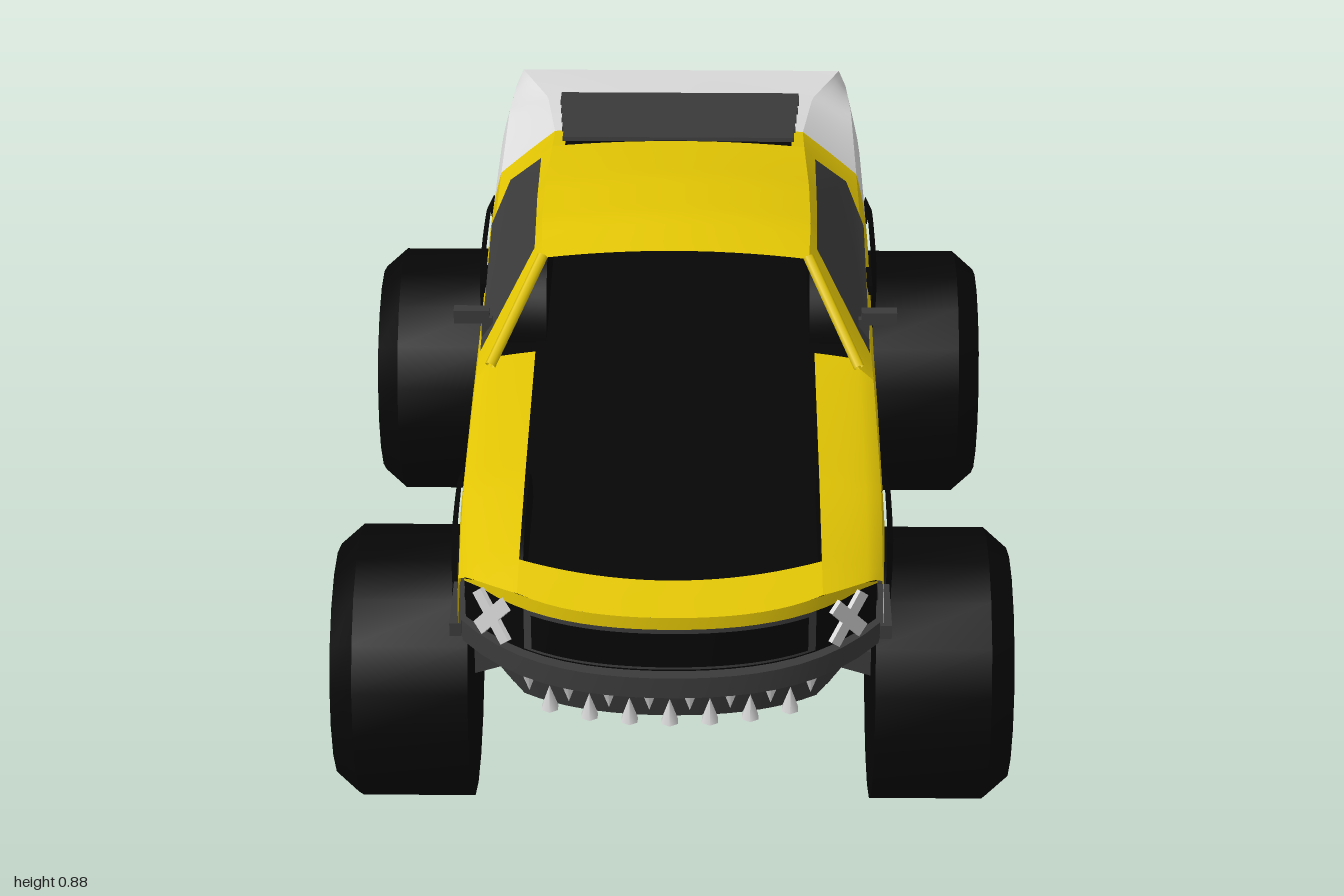
import * as THREE from 'three';
import { toCreasedNormals } from 'three/addons/utils/BufferGeometryUtils.js';

const mat = (name, color) => {
  const m = new THREE.MeshStandardMaterial({ color, side: THREE.DoubleSide });
  m.name = name;
  return m;
};
const lerp = (a, b, t) => a + (b - a) * t;

// piecewise-linear lookup: rows of [z, a, b, ...] with z rising
const table = (rows) => (z) => {
  let i = 0;
  while (i < rows.length - 2 && z > rows[i + 1][0]) i++;
  const [p, q] = [rows[i], rows[i + 1]];
  const t = Math.min(1, Math.max(0, (z - p[0]) / (q[0] - p[0])));
  return p.slice(1).map((a, k) => lerp(a, q[k + 1], t));
};

export function createModel() {
  const car = new THREE.Group();
  const yellow = mat('yellow paint', 0xe2c504), white = mat('white paint', 0xdededf);
  const black = mat('black', 0x060606), grey = mat('dark grey', 0x3b3b3b);
  const silver = mat('silver', 0xd4d4d4), red = mat('red lamp', 0xcc1414);

  const add = (name, geo, m, x = 0, y = 0, z = 0, parent = car) => {
    const mesh = new THREE.Mesh(geo, m);
    mesh.name = name;
    mesh.position.set(x, y, z);
    parent.add(mesh);
    return mesh;
  };
  const box = (name, m, w, h, d, x, y, z) => add(name, new THREE.BoxGeometry(w, h, d), m, x, y, z);
  // curved sheet: fn(u, v) gives a point
  const patch = (name, m, nu, nv, fn) => {
    const g = new THREE.PlaneGeometry(1, 1, nu, nv);
    const { position, uv } = g.attributes;
    for (let i = 0; i < position.count; i++) position.setXYZ(i, ...fn(uv.getX(i), uv.getY(i)));
    g.computeVertexNormals();
    return add(name, g, m);
  };
  // sheet repeated on both flanks
  const pair = (name, m, nu, nv, fn) => {
    for (const s of [1, -1]) patch(name, m, nu, nv, (u, v) => {
      const [x, y, z] = fn(u, v);
      return [s * x, y, z];
    });
  };

  // body lines
  const shoulder = table([[-1, .345, .70], [-.95, .348, .70], [-.75, .362, .735], [-.4, .365, .735], [0, .362, .71],
    [.25, .362, .685], [.6, .36, .665], [.84, .35, .628], [.92, .34, .62]]);
  // cabin edge x, edge y, centre y
  const cabin = table([[-.95, .33, .735, .735], [-.75, .27, .768, .775], [-.5, .245, .815, .828], [-.38, .245, .842, .854],
    [-.18, .25, .86, .88], [-.02, .25, .863, .884], [.09, .245, .848, .864], [.25, .335, .71, .71]]);
  const hoodEdge = table([[.2, .713], [.6, .70], [.84, .677], [.92, .663], [1, .65]]);
  const nose = (x) => .99 - .7 * x ** 2 - 5 * x ** 4;

  // wheel arches
  const N = 2.3, arches = [[.505, .577], [-.508, .605]], archR = .217;
  const sill = (z) => (z > .62 ? .52 : z < -.65 ? .5 : .43);
  const bottom = (z) => arches.reduce((y, [zc, top]) => {
    const d = Math.abs(z - zc) / archR;
    return d < 1 ? Math.max(y, .43 + (top - .43) * (1 - d ** N) ** (1 / N)) : y;
  }, sill(z));
  const sideX = (z, y) => shoulder(z)[0] + .012 - .9 * (y - .57) ** 2;

  const lower = (z, v) => {
    const y = lerp(bottom(z), shoulder(z)[1], v);
    return [sideX(z, y), y, z];
  };
  const upper = (z, v) => {
    const ys = shoulder(z)[1], [ex, ey] = cabin(z);
    return [lerp(sideX(z, ys), ex, v), lerp(ys, ey, v), z];
  };
  const roof = (z, s) => {
    const [ex, ey, cy] = cabin(z);
    return [s * ex, lerp(cy, ey, s * s), z];
  };
  const fender = (z, v) => {
    const ys = shoulder(z)[1];
    return [lerp(sideX(z, ys), .255, v), lerp(ys, hoodEdge(z)[0], v ** .6), z];
  };
  const tailEdge = (v) => (v < .25 ? -.955 - .14 * v : -.99 + .04 * (v - .25) / .75);
  const tailFace = (v) => -.96 + .015 * v;
  const seam = (v) => -.44 - .035 * v;

  // flanks, quarter panels and fenders
  pair('rearFlank', white, 40, 8, (u, v) => lower(lerp(tailEdge(v), seam(v), u), v));
  pair('doorAndFrontFlank', yellow, 110, 8, (u, v) => lower(lerp(seam(v), .84, u), v));
  pair('rearPillar', white, 16, 4, (u, v) => upper(lerp(-.95, -.475 - .025 * v, u), v));
  pair('cabinSide', yellow, 36, 4, (u, v) => upper(lerp(-.475 - .025 * v, .25, u), v));
  pair('frontFender', yellow, 24, 8, (u, v) => fender(lerp(.2, nose(lerp(.35, .255, v)), u), v));

  // roof, rear glass frame and deck
  patch('roof', yellow, 18, 14, (u, v) => roof(lerp(-.38, .09, u), 2 * v - 1));
  pair('rearGlassFrameFront', yellow, 4, 2, (u, v) => roof(lerp(-.5, -.38, u), lerp(.9, 1, v)));
  pair('rearGlassFrameBack', white, 6, 2, (u, v) => roof(lerp(-.735, -.5, u), lerp(.9, 1, v)));
  patch('rearGlass', black, 12, 8, (u, v) => roof(lerp(-.735, -.38, u), (2 * v - 1) * .9));
  patch('rearDeck', white, 8, 10, (u, v) => roof(lerp(-.95, -.735, u), 2 * v - 1));
  for (let i = 0; i < 5; i++) {
    const z = -.415 - i * .071;
    box('louver', grey, .45 + i * .008, .008, .064, 0, cabin(z)[2] + .004, z).rotation.x = -.17;
  }

  // windshield pillars
  for (const s of [1, -1]) {
    const path = new THREE.LineCurve3(new THREE.Vector3(s * .244, .85, .085), new THREE.Vector3(s * .335, .712, .25));
    add('windshieldPillar', new THREE.TubeGeometry(path, 1, .01, 6), yellow);
  }

  // side windows, outside and inside faces
  const outline = [[.185, .704], [.045, .845], [-.15, .851], [-.35, .831], [-.385, .765], [-.27, .728]];
  for (const s of [1, -1]) for (const off of [.007, -.007]) {
    const g = new THREE.ShapeGeometry(new THREE.Shape(outline.map((p) => new THREE.Vector2(...p))));
    const p = g.attributes.position;
    for (let i = 0; i < p.count; i++) {
      const z = p.getX(i), y = p.getY(i), ys = shoulder(z)[1];
      const x = upper(z, (y - ys) / (cabin(z)[1] - ys))[0];
      p.setXYZ(i, s * (x + off), y, z);
    }
    g.computeVertexNormals();
    add('sideWindow', g, grey);
  }

  // wheel wells and arch flares
  for (const [zc, top] of arches) {
    const at = (u, k) => {
      const a = Math.PI * u, c = Math.cos(a);
      const z = zc + k * archR * Math.sign(c) * Math.abs(c) ** (2 / N);
      return [z, Math.max(sill(z), .43 + (top - .43) * k * Math.abs(Math.sin(a)) ** (2 / N))];
    };
    pair('wheelWell', black, 32, 1, (u, v) => {
      const [z, y] = at(u, 1);
      return [lerp(.26, sideX(z, y), v), y, z];
    });
    pair('wheelWellWall', black, 32, 1, (u, v) => {
      const [z, y] = at(u, 1);
      return [.26, lerp(.43, y, v), z];
    });
    pair('archFlare', black, 32, 2, (u, v) => {
      const [z, y] = at(u, lerp(.97, 1.1, v));
      return [sideX(z, y) + .016 - .011 * v, y, z];
    });
  }

  // floor
  box('floor', black, .56, .02, 1.5, 0, .445, .04);
  box('cabinFloor', black, .725, .02, .6, 0, .442, 0);
  box('trunkFloor', black, .68, .015, .28, 0, .505, -.82);
  box('frontBelly', black, .66, .015, .13, 0, .515, .775);

  // tail
  patch('tailPanel', white, 8, 12, (u, v) => {
    const [x, y, z] = lower(tailFace(v), v);
    return [x * (2 * u - 1), y, z];
  });
  patch('tailLip', white, 8, 2, (u, v) => {
    const [x, y, z] = upper(-.95, v);
    return [x * (2 * u - 1), y, z];
  });
  patch('tailLightPanel', black, 8, 4, (u, v) => {
    const t = lerp(.02, .97, v), [x, y, z] = lower(tailFace(t), t);
    return [x * (2 * u - 1) * .98, y, z - .006];
  });
  box('rearBumper', grey, .69, .045, .036, 0, .54, -.981);
  for (const s of [1, -1]) {
    for (const [x, r] of [[.287, .033], [.212, .025]]) {
      add('tailLight', new THREE.TorusGeometry(r, .007, 6, 20), red, s * x, .63, -.957).rotation.x = .07;
    }
    add('exhaustTip', new THREE.CylinderGeometry(.022, .014, .08, 12, 1, true), silver, s * .2, .485, -.935).rotation.x = -1.9;
  }

  // front end, bent along the nose curve
  const bent = (name, m, [w0, y0, d0], [w1, y1, d1]) => patch(name, m, 20, 2, (u, v) => {
    const x = (2 * u - 1) * lerp(w0, w1, v);
    return [x, lerp(y0, y1, v), nose(x) + lerp(d0, d1, v)];
  });
  const noseY = (x, z) => hoodEdge(z)[0] + .008 * (1 - (x / .255) ** 2);
  patch('noseTop', yellow, 20, 4, (u, v) => {
    const x = (2 * u - 1) * .255, z = lerp(.9 - .9 * x * x, nose(x), v);
    return [x, noseY(x, z), z];
  });
  patch('noseLip', yellow, 24, 1, (u, v) => {
    const x = (2 * u - 1) * .35, a = Math.abs(x);
    const top = a < .255 ? noseY(x, nose(x)) : fender(nose(x), (.35 - a) / .095)[1];
    return [x, lerp(Math.min(.636, top - .004), top, v), nose(x)];
  });
  bent('frontPanel', black, [.35, .53, -.012], [.35, .64, -.012]);
  bent('grilleFrame', grey, [.245, .552, -.006], [.245, .634, -.006]);
  bent('grille', black, [.232, .56, -.001], [.232, .627, -.001]);
  bent('bumperFace', grey, [.355, .505, .01], [.365, .545, .01]);
  bent('bumperTop', grey, [.365, .545, .01], [.37, .545, -.06]);
  bent('bumperUnderside', black, [.355, .505, .01], [.355, .505, -.08]);
  for (const s of [1, -1]) box('bumperEnd', grey, .02, .026, .13, s * .367, .532, .775);
  bent('mouth', black, [.27, .42, -.08], [.36, .51, -.06]);
  bent('jaw', grey, [.25, .417, -.065], [.31, .475, -.05]);
  bent('jawUnderside', grey, [.25, .417, -.065], [.25, .43, -.2]);
  patch('radiatorShelf', grey, 14, 1, (u, v) => {
    const x = (2 * u - 1) * .25;
    return [x, .61, lerp(.81 - .6 * x * x, .94 - .9 * x * x, v)];
  });
  const tooth = (x, y, d, flip) => {
    const t = add('tooth', new THREE.ConeGeometry(.016, .046, 6), silver, x, y, nose(x) - d);
    if (flip) t.rotation.x = Math.PI;
  };
  for (let i = 0; i < 8; i++) tooth(-.238 + i * .068, .488, .012, true);
  for (let i = 0; i < 7; i++) tooth(-.204 + i * .068, .45, .034, false);
  for (const s of [1, -1]) for (const a of [1, -1]) {
    const bar = box('headlightCross', silver, .1, .026, .008, s * .3, .595, nose(.3) + .004);
    bar.rotation.set(0, s * .76, a * .85, 'YXZ');
  }

  // mirrors and door handles
  for (const s of [1, -1]) {
    box('mirror', grey, .065, .026, .022, s * .375, .748, .125);
    box('mirrorStalk', grey, .02, .05, .014, s * .347, .722, .13);
    box('doorHandle', black, .012, .02, .075, s * .366, .68, -.135);
  }

  // chassis
  box('frameSlab', grey, .4, .05, 1.16, 0, .4, -.015);
  box('frameCore', black, .28, .05, 1.1, 0, .352, -.015);
  for (const s of [1, -1]) box('frameRail', grey, .046, .045, 1.06, s * .09, .313, -.015);
  const half = [[.14, .37], [.37, .287], [.37, .237], [.145, .31]];
  const pts = [...half, ...half.map(([x, y]) => [-x, y]).reverse()].map((p) => new THREE.Vector2(...p));
  const axleGeo = new THREE.ExtrudeGeometry(new THREE.Shape(pts), { depth: .07, bevelEnabled: false });

  // wheels
  const spin = (profile) => toCreasedNormals(
    new THREE.LatheGeometry(profile.map((p) => new THREE.Vector2(...p)), 18).rotateZ(-Math.PI / 2), .5);
  const tire = spin([[0, .358], [.247, .358], [.247, .562], [.21, .604]]);
  const sidewall = spin([[.21, .604], [.135, .604], [.128, .585], [.112, .585], [.106, .55]]);
  const rim = spin([[.108, .552], [0, .552]]);
  const hub = spin([[.024, .55], [.024, .578], [0, .578]]);
  for (const z of [.515, -.545]) {
    add('axle', axleGeo, grey, 0, 0, z - .035);
    for (const s of [1, -1]) {
      const wheel = new THREE.Group();
      wheel.name = 'wheel';
      wheel.position.set(0, .246, z);
      wheel.rotation.y = s > 0 ? 0 : Math.PI;
      car.add(wheel);
      add('tire', tire, black, 0, 0, 0, wheel);
      add('sidewall', sidewall, grey, 0, 0, 0, wheel);
      add('rim', rim, silver, 0, 0, 0, wheel);
      add('hub', hub, grey, 0, 0, 0, wheel);
      for (let i = 0; i < 6; i++) {
        const spoke = new THREE.BoxGeometry(.02, .1, .02).rotateX(.2).translate(.562, .06, 0).rotateX(i * Math.PI / 3 + .3);
        add('spoke', spoke, grey, 0, 0, 0, wheel);
      }
    }
  }
  return car;
}
